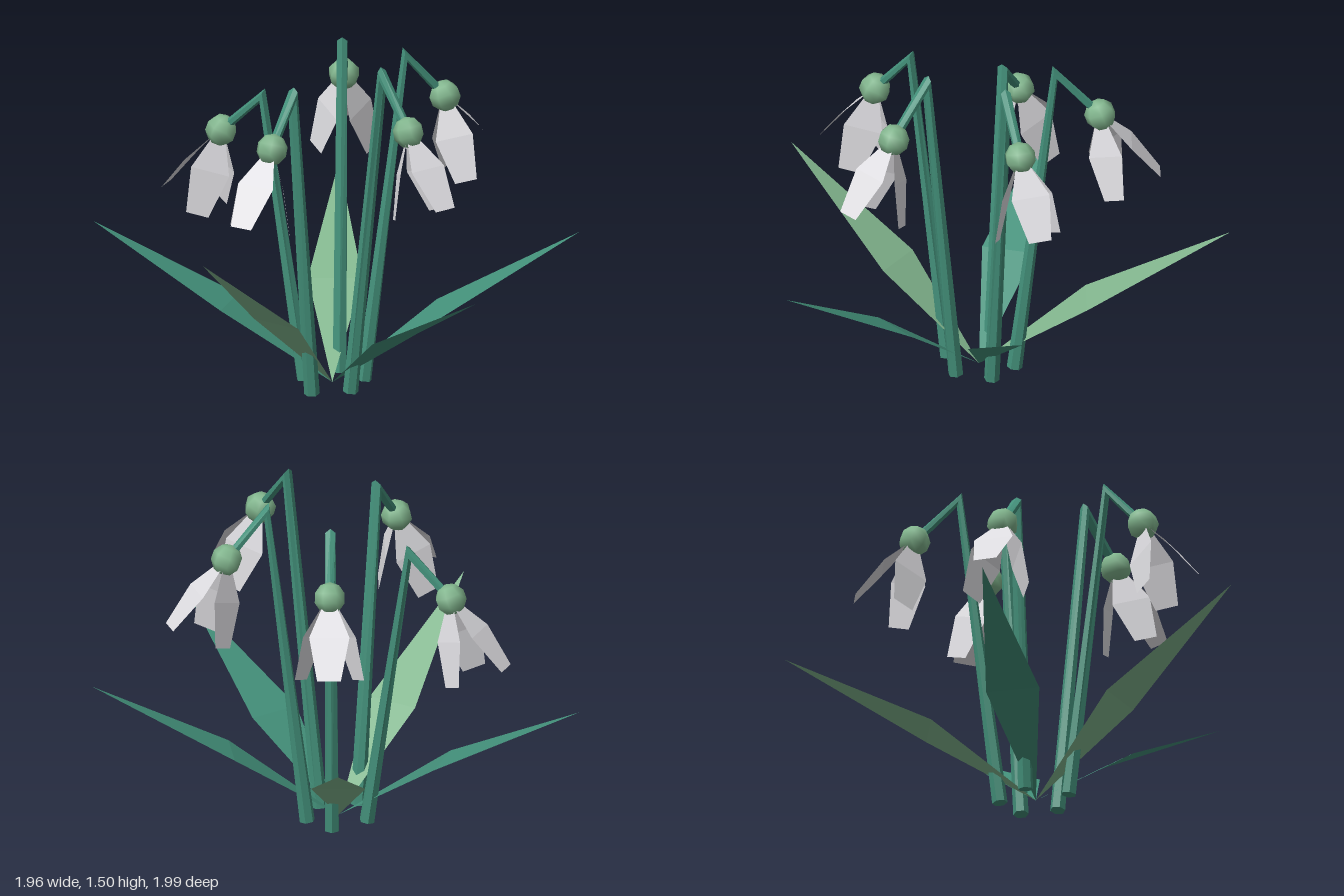
import * as THREE from 'three';

const V = (x, y, z) => new THREE.Vector3(x, y, z);

// Skin a list of cross-sections (equal point counts) with flat facets
function loft(sections, closed) {
  const pos = [];
  const tri = (...pts) => pts.forEach((p) => pos.push(p.x, p.y, p.z));
  const n = sections[0].length;
  for (let s = 0; s < sections.length - 1; s++) {
    const a = sections[s], b = sections[s + 1];
    for (let i = 0; i < (closed ? n : n - 1); i++) {
      const j = (i + 1) % n;
      tri(a[i], a[j], b[j]);
      tri(a[i], b[j], b[i]);
    }
  }
  if (closed) {
    const base = sections[0];
    for (let i = 1; i < n - 1; i++) tri(base[0], base[i + 1], base[i]);
  }
  const geo = new THREE.BufferGeometry();
  geo.setAttribute('position', new THREE.Float32BufferAttribute(pos, 3));
  geo.computeVertexNormals();
  return geo;
}

// Hexagonal stem that rises, folds sharply at the apex and droops to the bud
function stemGeometry(base, apex, bud) {
  const up = apex.clone().sub(base).normalize();
  const down = bud.clone().sub(apex).normalize();
  const side = up.clone().cross(down).normalize();
  const ring = (center, inPlane, r, stretch) => Array.from({ length: 6 }, (_, i) => {
    const a = (i / 6) * Math.PI * 2;
    return center.clone()
      .addScaledVector(inPlane, Math.cos(a) * r * stretch)
      .addScaledVector(side, Math.sin(a) * r);
  });
  const mitre = up.clone().sub(down).normalize();
  return loft([
    ring(base, side.clone().cross(up).negate(), 0.033, 1),
    ring(apex, mitre, 0.025, 1.4),
    ring(bud, side.clone().cross(down).negate(), 0.02, 1),
  ].map((r) => r.reverse()), true);
}

// Kite-shaped leaf bent across its widest point
function leafGeometry(root, tip, along, midY) {
  const dir = V(tip.x - root.x, 0, tip.z - root.z).normalize();
  const across = V(-dir.z, 0, dir.x).multiplyScalar(0.115);
  const mid = root.clone().addScaledVector(dir, along).setY(midY);
  return loft([
    [root, root],
    [mid.clone().sub(across), mid.clone().add(across)],
    [tip, tip],
  ], false);
}

// Petal hanging down -y and leaning towards +x; rows are [drop, spread, half width]
function petalGeometry() {
  return loft([[0.035, 0.02, 0.03], [0.165, 0.08, 0.085], [0.348, 0.14, 0.05]]
    .map(([d, r, w]) => [V(r, -d, w), V(r, -d, -w)]), false);
}

export function createModel() {
  const root = new THREE.Group();
  root.name = 'droopingFlowers';

  const material = (name, color, doubleSided = false) => {
    const m = new THREE.MeshStandardMaterial({ color });
    m.name = name;
    if (doubleSided) m.side = THREE.DoubleSide;
    return m;
  };
  const teal = material('deep teal green', 0x43907a, true);
  const light = material('soft light green', 0x82b68e, true);
  const white = material('petal white', 0xdddce0, true);

  const add = (parent, name, geo, mat) => {
    const mesh = new THREE.Mesh(geo, mat);
    mesh.name = name;
    parent.add(mesh);
    return mesh;
  };

  // Leaves fanning out from a common root
  const leafRoot = V(-0.06, 0.01, 0.04);
  [
    [V(0.18, 0.62, -0.995), 0.454, 0.315, light],
    [V(-0.98, 0.61, -0.5), 0.46, 0.315, teal],
    [V(-0.75, 0.8, 0.68), 0.405, 0.385, light],
    [V(0.365, 0.66, 0.995), 0.45, 0.33, teal],
    [V(0.98, 0.645, 0.15), 0.454, 0.325, teal],
  ].forEach(([tip, along, midY, mat], i) =>
    add(root, `leaf${i + 1}`, leafGeometry(leafRoot, tip, along, midY), mat));

  // Flowers: stem foot, stem apex, bud centre
  const budGeo = new THREE.SphereGeometry(0.068, 7, 5);
  const petalGeo = petalGeometry();
  [
    [V(0.0, 0.004, -0.1), V(0.045, 1.41, -0.265), V(0.09, 1.21, -0.45)],
    [V(-0.165, 0.004, -0.04), V(-0.325, 1.25, -0.135), V(-0.48, 1.07, -0.245)],
    [V(-0.17, 0.004, 0.15), V(-0.28, 1.39, 0.28), V(-0.395, 1.2, 0.405)],
    [V(-0.005, 0.004, 0.155), V(0.1, 1.465, 0.31), V(0.18, 1.26, 0.475)],
    [V(0.08, 0.004, 0.02), V(0.26, 1.44, 0.005), V(0.435, 1.24, -0.01)],
  ].forEach(([foot, apex, bud], i) => {
    const flower = new THREE.Group();
    flower.name = `flower${i + 1}`;
    root.add(flower);
    add(flower, 'stem', stemGeometry(foot, apex, bud), teal);

    // Nodding head, tilted away from the stem
    const head = new THREE.Group();
    head.name = 'flowerHead';
    head.position.copy(bud);
    head.rotation.set(0, -Math.atan2(bud.z - apex.z, bud.x - apex.x), 0.36);
    flower.add(head);
    add(head, 'bud', budGeo, light);
    for (let k = 0; k < 3; k++) {
      add(head, `petal${k + 1}`, petalGeo, white).rotation.y = (k * Math.PI * 2) / 3;
    }
  });

  return root;
}
